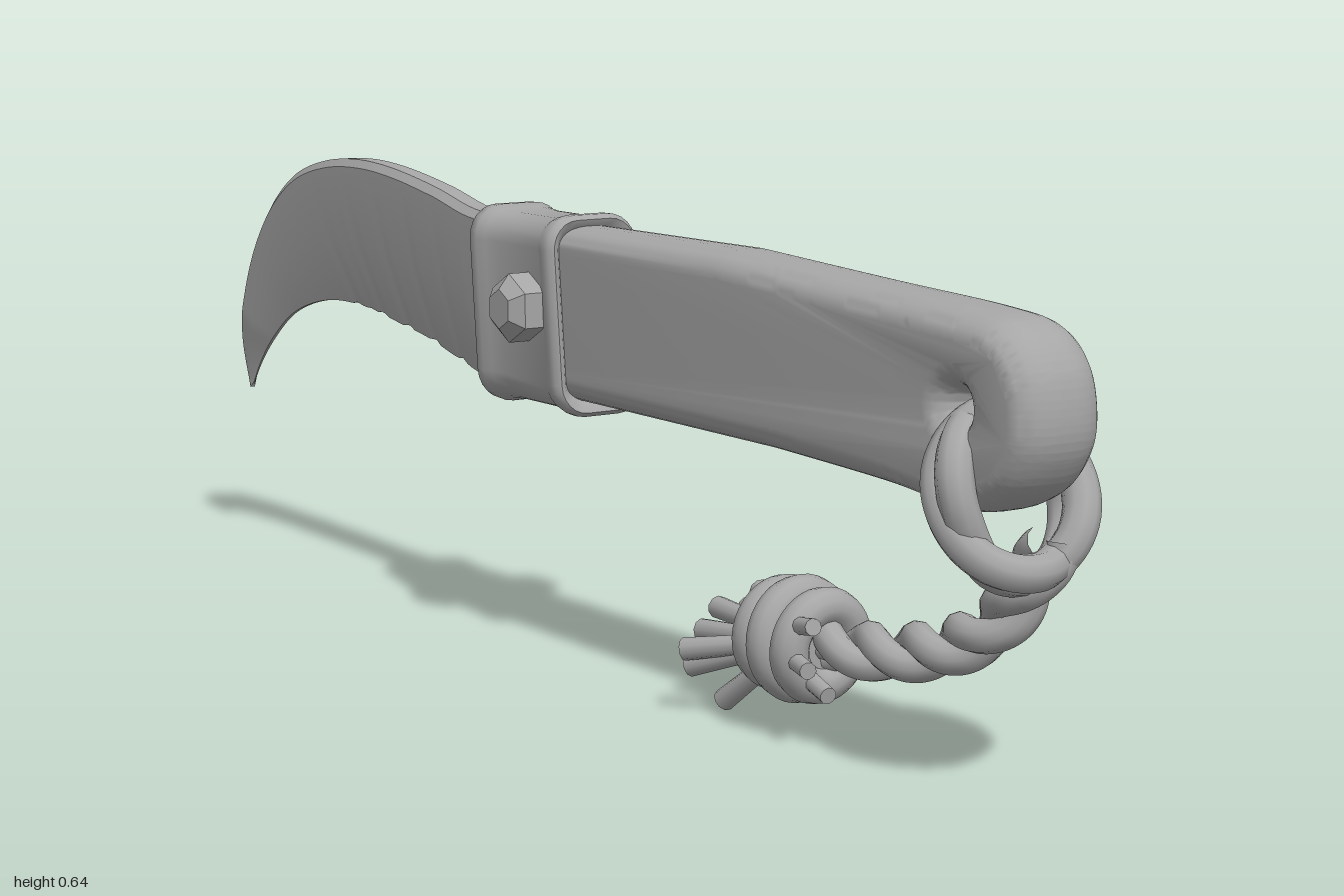
import * as THREE from 'three';
import { toCreasedNormals } from 'three/addons/utils/BufferGeometryUtils.js';

const V = (x, y, z) => new THREE.Vector3(x, y, z);

// Skin closed rings of points into one surface.
function loft(rings, crease = 0.6) {
  const n = rings[0].length, pos = rings.flat().flatMap(p => [p.x, p.y, p.z]), idx = [];
  for (let j = 0; j < rings.length - 1; j++) {
    for (let i = 0; i < n; i++) {
      const k = (i + 1) % n, a = j * n + i, b = j * n + k, c = b + n, d = a + n;
      idx.push(a, b, c, a, c, d);
    }
  }
  const g = new THREE.BufferGeometry();
  g.setAttribute('position', new THREE.Float32BufferAttribute(pos, 3));
  g.setIndex(idx);
  return toCreasedNormals(g, crease);
}

// Rounded rectangle ring, counterclockwise seen from +z, leaning with height.
function sleeveRing(offset, z) {
  const r = 0.045 + offset, pts = [];
  for (let q = 0; q < 4; q++) {
    const sx = q === 0 || q === 3 ? 1 : -1, sy = q < 2 ? 1 : -1;
    for (let i = 0; i <= 6; i++) {
      const a = (q + i / 6) * Math.PI / 2;
      const y = sy * 0.09 + r * Math.sin(a);
      pts.push(V(sx * 0.027 + r * Math.cos(a), y + 0.481, z - y * 0.1));
    }
  }
  return pts;
}

function handleGeometry() {
  const s = new THREE.Shape();
  s.moveTo(-0.12, 0.365);
  s.lineTo(0.5, 0.363);
  s.splineThru([[0.72, 0.355], [0.87, 0.344], [0.95, 0.368], [0.99, 0.415], [1, 0.465],
    [0.985, 0.525], [0.94, 0.567], [0.86, 0.58], [0.65, 0.59], [0.4, 0.603]]
    .map(p => new THREE.Vector2(...p)));
  s.lineTo(-0.12, 0.6);
  s.closePath();
  const hole = new THREE.Path();
  hole.absarc(0.866, 0.468, 0.018, 0, Math.PI * 2, true);
  s.holes.push(hole);
  const g = new THREE.ExtrudeGeometry(s, {
    depth: 0.022, steps: 1, curveSegments: 24,
    bevelThickness: 0.052, bevelSize: 0.034, bevelOffset: -0.034, bevelSegments: 7,
  });
  g.translate(0, 0, -0.011);
  g.rotateY(-Math.PI / 2);
  // Slimmer towards the collar
  const p = g.attributes.position;
  for (let i = 0; i < p.count; i++) p.setX(i, p.getX(i) * (0.84 + 0.17 * p.getZ(i)));
  return toCreasedNormals(g, 0.6);
}

function bladeGeometry() {
  const curve = pts => new THREE.CatmullRomCurve3(pts.map(([z, y]) => V(0, y, z)));
  const spine = curve([[-0.05, 0.59], [-0.15, 0.595], [-0.25, 0.6], [-0.36, 0.622], [-0.5, 0.641],
    [-0.6, 0.645], [-0.7, 0.636], [-0.8, 0.608], [-0.88, 0.556], [-0.94, 0.485],
    [-0.977, 0.41], [-0.997, 0.33], [-0.985, 0.248]]);
  const edge = curve([[-0.05, 0.375], [-0.15, 0.375], [-0.19, 0.378], [-0.23, 0.362], [-0.32, 0.378],
    [-0.4, 0.396], [-0.48, 0.407], [-0.6, 0.422], [-0.72, 0.418], [-0.83, 0.387],
    [-0.9, 0.342], [-0.95, 0.295], [-0.985, 0.248]]);
  const rings = [], N = 90;
  // Half thickness and position from spine (0) to cutting edge (1)
  const section = [[-0.6, 0], [0.6, 0], [1, 0.05], [0.95, 0.55], [0.15, 1], [-0.15, 1], [-0.95, 0.55], [-1, 0.05]];
  for (let i = 0; i <= N; i++) {
    const t = i / N, a = spine.getPointAt(t), b = edge.getPointAt(t);
    const w = (0.025 - 0.009 * t) * Math.min(1, 0.25 + (1 - t) * 7);
    // Worn nicks along the cutting edge
    b.y += 0.005 * Math.max(0, Math.sin(i * 1.3) * Math.sin(i * 0.47)) * (t < 0.6 ? 1 : 0);
    rings.push(section.map(([x, f]) => a.clone().lerp(b, f).setX(x * w)));
  }
  return loft(rings, 0.5);
}

export function createModel() {
  const root = new THREE.Group();
  root.name = 'hookedKnife';
  const grey = new THREE.MeshStandardMaterial({ color: 0xa6a6a6 });
  grey.name = 'plain grey';
  const add = (parent, name, geometry) => {
    const m = new THREE.Mesh(geometry, grey);
    m.name = name;
    parent.add(m);
    return m;
  };
  const group = (name, x = 0, turn = 0) => {
    const g = new THREE.Group();
    g.name = name;
    g.position.x = x;
    g.rotation.y = turn;
    root.add(g);
    return g;
  };
  // Capped straight piece between two points
  const rod = (parent, name, a, b, r0, r1) => {
    const m = add(parent, name, new THREE.CylinderGeometry(r1, r0, a.distanceTo(b), 10));
    m.position.copy(a).lerp(b, 0.5);
    m.quaternion.setFromUnitVectors(V(0, 1, 0), b.clone().sub(a).normalize());
  };

  // Handle, collar and bolts
  const grip = group('grip', -0.037, 0.07);
  add(grip, 'handle', handleGeometry());
  const profile = [[-0.035, -0.115], [-0.02, -0.13], [-0.014, -0.143], [-0.006, -0.147], [0, -0.142],
    [0.001, -0.125], [-0.004, -0.11], [-0.007, -0.08], [-0.007, 0.02], [-0.003, 0.03],
    [0, 0.043], [0, 0.055], [-0.006, 0.062], [-0.014, 0.058], [-0.026, 0.045]];
  add(grip, 'collar', loft(profile.map(([o, z]) => sleeveRing(o, z)), 0.9));
  const boltProfile = [[0.047, 0.055], [0.047, 0.097], [0.027, 0.113], [0, 0.113]]
    .map(p => new THREE.Vector2(...p));
  for (const side of [1, -1]) {
    const bolt = add(grip, side > 0 ? 'leftBolt' : 'rightBolt',
      toCreasedNormals(new THREE.LatheGeometry(boltProfile, 6, Math.PI / 2), 0.3));
    bolt.rotation.z = -side * Math.PI / 2;
    bolt.position.set(0, 0.49, -0.012);
  }

  // Blade
  add(group('bladeGroup', -0.032, 0.047), 'blade', bladeGeometry());

  // Cord loop through the handle hole
  const cord = group('cord');
  for (const s of [1, -1]) {
    const pts = [];
    for (let i = 0; i < 24; i++) {
      const a = i / 24 * Math.PI * 2, r = 0.087 + s * 0.006 * Math.sin(a * 3);
      pts.push(V(0.035 + r * Math.cos(a), 0.365 + r * 1.02 * Math.sin(a),
        0.89 - 0.035 * Math.sin(a) + s * 0.02 * Math.cos(a * 2 + 0.6)));
    }
    add(cord, 'loopStrand', new THREE.TubeGeometry(new THREE.CatmullRomCurve3(pts, true), 72, 0.023, 10, true));
  }

  // Twisted pair of strands from the loop to the knot
  const path = new THREE.CatmullRomCurve3([V(0.07, 0.31, 0.925), V(0.06, 0.25, 0.89), V(0.052, 0.185, 0.82),
    V(0.045, 0.145, 0.72), V(0.03, 0.125, 0.62), V(0.005, 0.122, 0.5)]);
  for (const s of [0, Math.PI]) {
    const pts = [];
    for (let i = 0; i <= 60; i++) {
      const t = i / 60, a = t * Math.PI * 6 + s, tan = path.getTangentAt(t);
      const u = V(1, 0, 0).addScaledVector(tan, -tan.x).normalize(), v = tan.clone().cross(u);
      pts.push(path.getPointAt(t).addScaledVector(u, 0.017 * Math.cos(a)).addScaledVector(v, 0.017 * Math.sin(a)));
    }
    add(cord, 'twistedStrand', new THREE.TubeGeometry(new THREE.CatmullRomCurve3(pts), 120, 0.021, 10));
  }

  // Coiled knot
  const knot = [[0.546, 0.05, 0.06], [0.502, 0.057, -0.05], [0.459, 0.05, 0.04]];
  for (const [z, r, tilt] of knot) {
    const coil = add(cord, 'knotCoil', new THREE.TorusGeometry(r, 0.025, 12, 36));
    coil.position.set(0.006, 0.12, z);
    coil.rotation.set(tilt, 0.1, 0);
  }
  rod(cord, 'knotCore', V(0.006, 0.12, 0.555), V(0.004, 0.12, 0.44), 0.045, 0.042);

  // Frayed ends behind the knot and short stubs in front
  const ends = [[-0.085, 0.09, 0.37], [-0.07, 0.065, 0.36], [-0.028, 0.017, 0.375], [0.02, 0.07, 0.34],
    [0.045, 0.12, 0.318], [0, 0.125, 0.315], [0.03, 0.155, 0.37], [-0.03, 0.1, 0.325]];
  for (const [x, y, z] of ends) {
    rod(cord, 'frayedEnd', V(x * 0.35, 0.12 + (y - 0.12) * 0.35, 0.46), V(x, y, z), 0.012, 0.015);
  }
  for (const [x, y] of [[-0.048, 0.162], [-0.055, 0.108], [-0.025, 0.073], [0.005, 0.115]]) {
    rod(cord, 'stub', V(x * 0.7, 0.12 + (y - 0.12) * 0.7, 0.54), V(x, y, 0.61), 0.012, 0.011);
  }
  return root;
}
